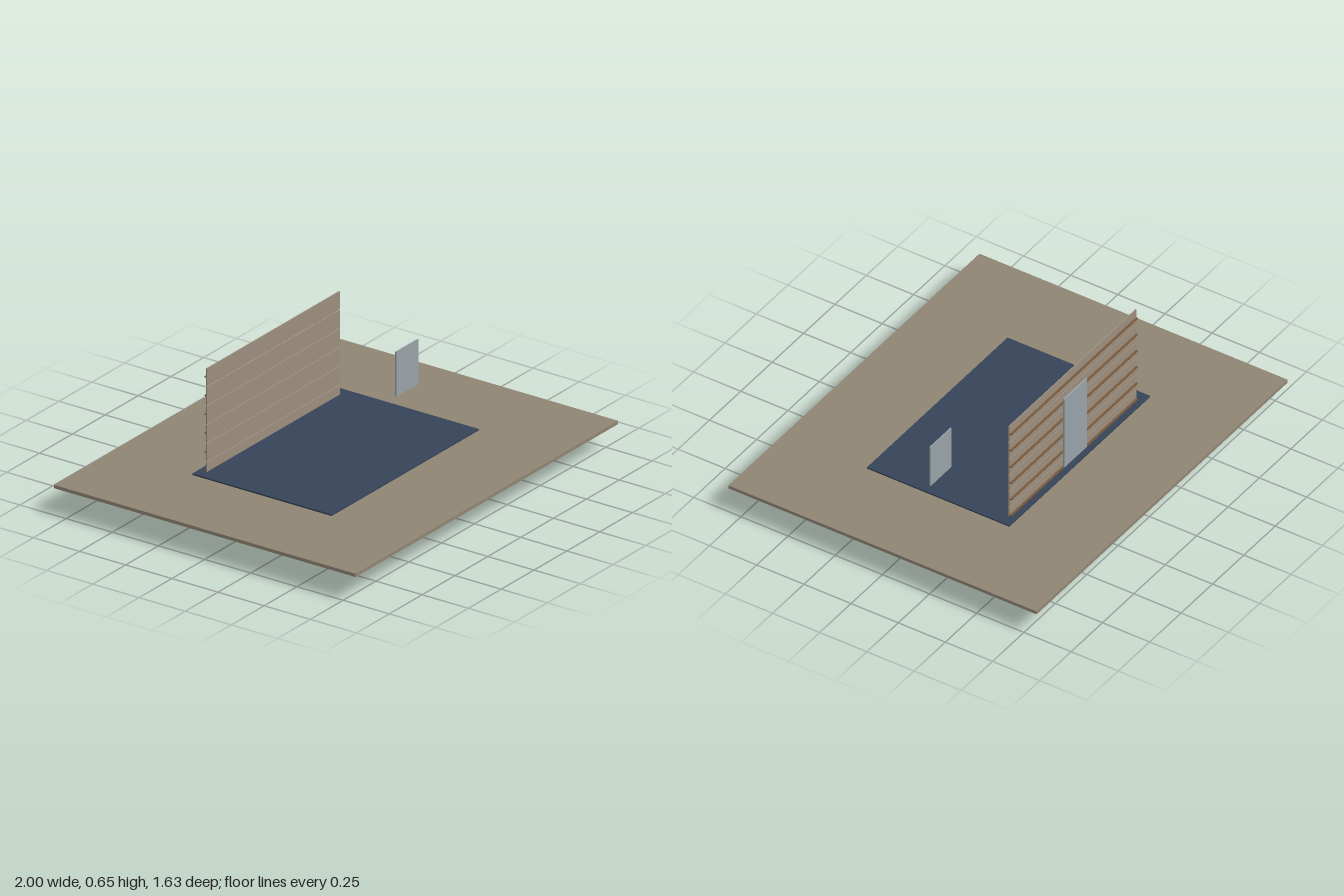
import * as THREE from 'three';

export function createModel() {
  const model = new THREE.Group();
  const mat = (color) => new THREE.MeshStandardMaterial({ color });
  const stone = mat(0x8f8574), navy = mat(0x364358), ochre = mat(0xa07d22);
  const paleGrey = mat(0xa09fa4), blueGrey = mat(0x82858e), green = mat(0x2f7a3c);
  const timber = mat(0x9c8e7d), brown = mat(0x7a5a3c), panel = mat(0x98a2a7);

  // Box given by its lower and upper limits on each axis
  function box(name, material, [x0, x1], [y0, y1], [z0, z1], parent = model) {
    const mesh = new THREE.Mesh(new THREE.BoxGeometry(x1 - x0, y1 - y0, z1 - z0), material);
    mesh.position.set((x0 + x1) / 2, (y0 + y1) / 2, (z0 + z1) / 2);
    mesh.name = name;
    parent.add(mesh);
    return mesh;
  }

  // Flat tray with cut corners, half sizes w and d
  function tray(name, material, w, d, y0, y1, cut) {
    const shape = new THREE.Shape([
      [w - cut, -d], [w, -d + cut], [w, d - cut], [w - cut, d],
      [-w + cut, d], [-w, d - cut], [-w, -d + cut], [-w + cut, -d],
    ].map(([x, y]) => new THREE.Vector2(x, y)));
    const geo = new THREE.ExtrudeGeometry(shape, { depth: y1 - y0, bevelEnabled: false });
    geo.rotateX(-Math.PI / 2);
    const mesh = new THREE.Mesh(geo, material);
    mesh.position.y = y0;
    mesh.name = name;
    model.add(mesh);
  }

  // Ground and floor
  box('groundSlab', stone, [-1, 1], [0.13, 0.146], [-0.817, 0.817]);
  box('floor', navy, [-0.56, 0.56], [0.146, 0.153], [-0.38, 0.375]);

  // Foundation under the slab
  tray('foundationBase', paleGrey, 0.578, 0.393, 0, 0.062, 0.03);
  tray('foundationUpper', blueGrey, 0.57, 0.385, 0.062, 0.112, 0.03);
  box('foundationRim', ochre, [-0.598, 0.598], [0.112, 0.13], [-0.413, 0.413]);

  // Corner brackets and drain pipes, mirrored to all four corners
  for (const sx of [-1, 1]) {
    for (const sz of [-1, 1]) {
      const span = (s, a, b) => (s > 0 ? [a, b] : [-b, -a]);
      const corner = new THREE.Group();
      corner.name = 'cornerBracket';
      box('bracketFace', ochre, span(sx, 0.457, 0.56), [0, 0.112], span(sz, 0.38, 0.413), corner);
      box('bracketSide', ochre, span(sx, 0.565, 0.598), [0, 0.112], span(sz, 0.277, 0.38), corner);
      model.add(corner);

      const pipe = new THREE.Mesh(new THREE.CylinderGeometry(0.014, 0.014, 0.2, 16), green);
      pipe.rotation.x = Math.PI / 2;
      pipe.position.set(sx * 0.512, 0.126, sz * 0.503);
      pipe.name = 'drainPipe';
      model.add(pipe);
    }
  }

  // Rear wall of horizontal boards with open joints
  const wall = new THREE.Group();
  wall.name = 'rearWall';
  const joints = [0.153, 0.2, 0.291, 0.382, 0.473, 0.564, 0.655];
  for (let i = 0; i < joints.length - 1; i++) {
    const lo = joints[i] + (i ? 0.003 : 0);
    box('wallBoard', timber, [-0.508, 0.505], [lo, joints[i + 1] - 0.002], [-0.343, -0.337], wall);
    // Thin batten behind the middle of each full board
    if (i) {
      const mid = (joints[i] + joints[i + 1]) / 2;
      box('wallBatten', brown, [-0.505, 0.502], [mid - 0.003, mid + 0.003], [-0.352, -0.343], wall);
    }
  }
  box('wallSill', brown, [-0.505, 0.502], [0.153, 0.16], [-0.352, -0.343], wall);
  model.add(wall);

  // Door behind the wall and free-standing window pane
  box('door', panel, [-0.09, 0.09], [0.165, 0.545], [-0.36, -0.352]);
  box('windowPane', panel, [0.455, 0.622], [0.25, 0.467], [-0.003, 0.003]);

  return model;
}
